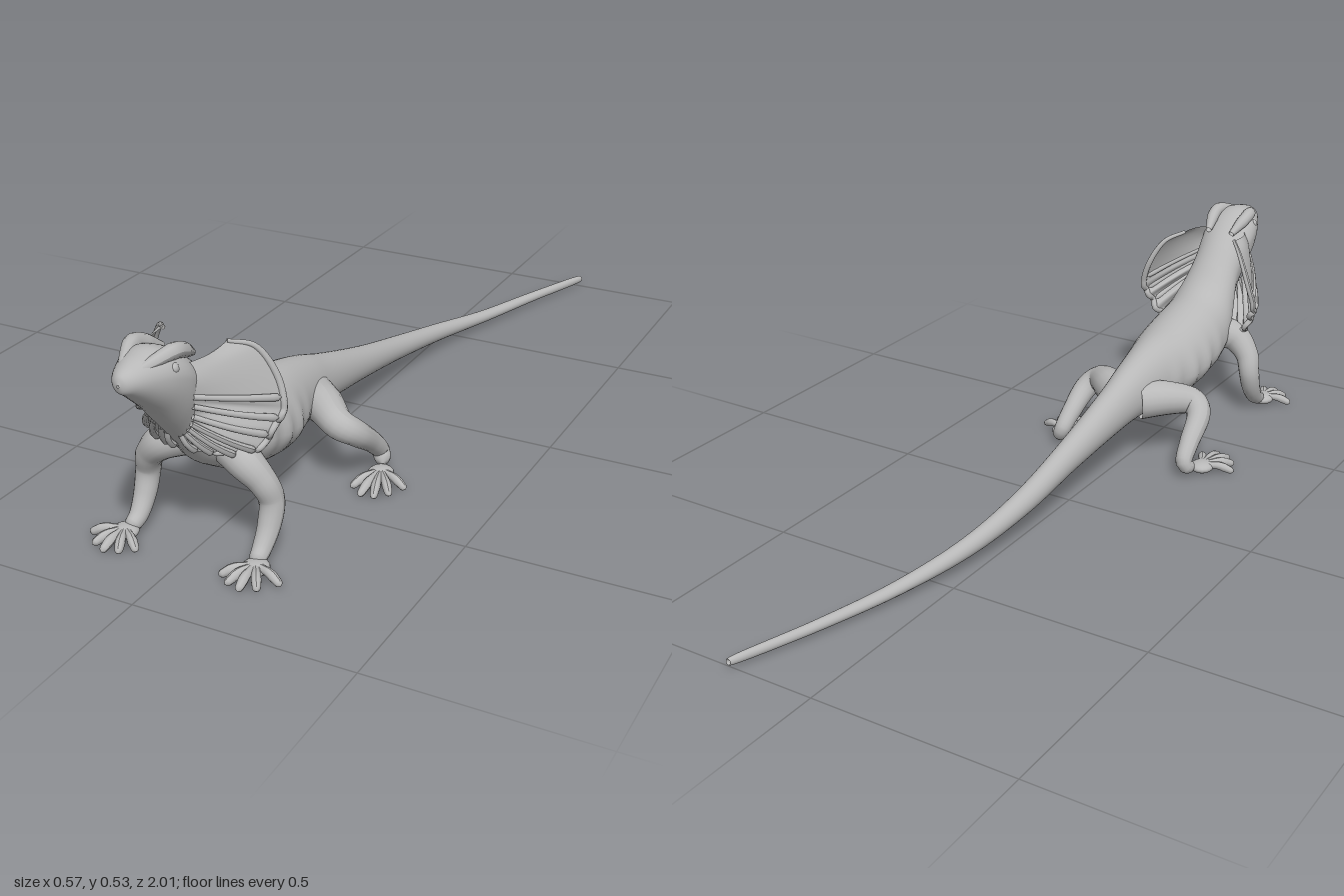
import * as THREE from 'three';

const skin = new THREE.MeshStandardMaterial({ color: 0xb8b8b8, side: THREE.DoubleSide });
skin.name = 'grey skin';
const V = (p, s = 1) => new THREE.Vector3(p[0] * s, p[1], p[2]);
const spline = (pts, s) => new THREE.CatmullRomCurve3(pts.map((p) => V(p, s)), false, 'catmullrom', 0.5);

function addMesh(parent, name, geometry) {
  const mesh = new THREE.Mesh(geometry, skin);
  mesh.name = name;
  parent.add(mesh);
  return mesh;
}

// Smooth surface from a grid of points; wrap joins the last column to the first
function gridGeometry(rows, cols, wrap, point) {
  const pos = [], index = [];
  for (let i = 0; i < rows; i++) for (let j = 0; j < cols; j++) pos.push(...point(i, j));
  for (let i = 0; i < rows - 1; i++) {
    for (let j = 0; j < (wrap ? cols : cols - 1); j++) {
      const k = (j + 1) % cols;
      const a = i * cols + j, b = i * cols + k, c = a + cols, d = b + cols;
      index.push(a, b, c, b, d, c);
    }
  }
  const g = new THREE.BufferGeometry();
  g.setAttribute('position', new THREE.Float32BufferAttribute(pos, 3));
  g.setIndex(index);
  g.computeVertexNormals();
  return g;
}

// Tube with changing radius and a rounded far end
function taperedTube(points, radii, s, segments = 30, sides = 14, round = 0.1) {
  const curve = spline(points, s);
  const g = new THREE.TubeGeometry(curve, segments, 1, sides, false);
  const p = g.attributes.position, v = new THREE.Vector3();
  for (let i = 0; i <= segments; i++) {
    const u = i / segments, c = curve.getPointAt(u);
    const f = u * (radii.length - 1), k = Math.min(Math.floor(f), radii.length - 2);
    let r = THREE.MathUtils.lerp(radii[k], radii[k + 1], f - k);
    if (u > 1 - round) r *= Math.sqrt(Math.max(0.0001, 1 - ((u - 1 + round) / round) ** 2));
    for (let j = 0; j <= sides; j++) {
      const n = i * (sides + 1) + j;
      v.fromBufferAttribute(p, n).sub(c).multiplyScalar(r).add(c);
      p.setXYZ(n, v.x, v.y, v.z);
    }
  }
  g.computeVertexNormals();
  return g;
}

// Tail, trunk, neck and head: z, x, top, bottom, half width, height of widest point (0 to 1)
const sections = [
  [-1, 0.207, 0.024, 0.022, 0.001, 0.5], [-0.993, 0.205, 0.034, 0.013, 0.009, 0.5],
  [-0.8, 0.137, 0.04, 0.014, 0.014, 0.5], [-0.6, 0.078, 0.05, 0.018, 0.018, 0.5],
  [-0.4, 0.03, 0.078, 0.032, 0.022, 0.5], [-0.2, 0.008, 0.117, 0.056, 0.028, 0.5],
  [0, 0.004, 0.167, 0.085, 0.034, 0.5], [0.2, 0.001, 0.228, 0.108, 0.046, 0.48],
  [0.3, 0, 0.263, 0.115, 0.058, 0.45], [0.4, 0, 0.289, 0.11, 0.076, 0.43],
  [0.5, 0, 0.306, 0.112, 0.1, 0.42], [0.6, 0, 0.328, 0.13, 0.104, 0.42],
  [0.66, 0, 0.345, 0.15, 0.1, 0.4], [0.7, 0, 0.37, 0.173, 0.093, 0.42],
  [0.74, 0, 0.41, 0.2, 0.08, 0.48], [0.78, 0, 0.452, 0.245, 0.068, 0.6],
  [0.82, 0, 0.487, 0.292, 0.068, 0.68], [0.86, 0, 0.513, 0.338, 0.072, 0.66],
  [0.9, 0, 0.527, 0.383, 0.066, 0.6], [0.94, 0, 0.522, 0.42, 0.05, 0.55],
  [0.975, 0, 0.511, 0.45, 0.032, 0.5], [0.993, 0, 0.5, 0.463, 0.017, 0.5],
  [1, 0, 0.485, 0.478, 0.002, 0.5],
];

function bodyGeometry() {
  const a = spline(sections.map((r) => [r[0], r[1], r[2]]));
  const b = spline(sections.map((r) => [r[3], r[4], r[5]]));
  const rows = 177, cols = 36;
  return gridGeometry(rows, cols, true, (i, j) => {
    const t = i / (rows - 1), { x: z, y: x, z: top } = a.getPoint(t);
    const { x: bottom, y: w, z: mid } = b.getPoint(t);
    const ang = (j / cols) * Math.PI * 2, c = Math.cos(ang), s = Math.sin(ang);
    const cy = bottom + (top - bottom) * mid;
    // Scalloped fold of skin along the flanks
    const flank = z > 0.36 && z < 0.66 ? Math.sin(((z - 0.36) / 0.3) * Math.PI) : 0;
    const fold = flank * (0.004 + 0.004 * Math.sin(z * 95)) * Math.abs(c) ** 12;
    return [x + c * w + Math.sign(c) * fold, cy + s * (s > 0 ? top - cy : cy - bottom), z];
  });
}

// Neck frill: root line on the head and throat, rim line outside, pleated below
const frillRoot = [[0.055, 0.478, 0.84], [0.066, 0.44, 0.85], [0.066, 0.395, 0.845],
  [0.055, 0.35, 0.835], [0.034, 0.32, 0.825], [0.008, 0.298, 0.815]];
const frillRim = [[0.075, 0.486, 0.735], [0.115, 0.464, 0.69], [0.15, 0.4, 0.67], [0.168, 0.335, 0.675],
  [0.155, 0.298, 0.69], [0.13, 0.25, 0.705], [0.09, 0.24, 0.735], [0.045, 0.25, 0.765], [0.008, 0.26, 0.78]];

function frillPoint(root, rim, u, v) {
  const p = root.getPoint(u).lerp(rim.getPoint(u), v);
  const pleat = THREE.MathUtils.smoothstep(u, 0.32, 0.5) * Math.sin(u * 62) * 0.013 * Math.sin(v * 2.4);
  const bulge = 0.014 * Math.sin(v * Math.PI) * (1 - u);
  const side = Math.sign(rim.points[0].x);
  p.x += side * (bulge * 0.6 + pleat * 0.5 * (1 - u));
  p.z += pleat + bulge * 0.3;
  return p;
}

function addFrill(parent, s) {
  const frill = new THREE.Group();
  frill.name = 'neckFrill';
  parent.add(frill);
  const root = spline(frillRoot, s), rim = spline(frillRim, s);
  addMesh(frill, 'frillMembrane', gridGeometry(81, 15, false,
    (i, j) => frillPoint(root, rim, i / 80, j / 14).toArray()));
  const edge = Array.from({ length: 41 }, (_, i) => frillPoint(root, rim, i / 40, 1).toArray());
  addMesh(frill, 'frillRim', taperedTube(edge, [0.005, 0.008, 0.008, 0.007, 0.006], 1, 70, 8, 0.02));
  // Supporting rods fanning out from the jaw
  for (const u of [0.33, 0.43, 0.54, 0.64, 0.74, 0.85, 0.94]) {
    const rod = [0, 0.25, 0.5, 0.75, 1].map((v) => {
      const p = frillPoint(root, rim, u, v);
      return [p.x, p.y, p.z + 0.005];
    });
    addMesh(frill, 'frillRod', taperedTube(rod, [0.006, 0.007, 0.009], 1, 16, 8));
  }
}

const legs = [
  {
    name: 'frontLeg',
    path: [[0.055, 0.235, 0.7], [0.1, 0.215, 0.72], [0.138, 0.175, 0.715], [0.152, 0.13, 0.705],
      [0.153, 0.08, 0.72], [0.152, 0.04, 0.75], [0.155, 0.022, 0.785]],
    radii: [0.046, 0.04, 0.032, 0.028, 0.026, 0.022, 0.017],
    palm: [0.16, 0.02, 0.79],
    toes: [[0.1, 0.838], [0.13, 0.862], [0.165, 0.872], [0.2, 0.855], [0.234, 0.815]],
  },
  {
    name: 'hindLeg',
    path: [[0.03, 0.17, 0.3], [0.085, 0.172, 0.345], [0.138, 0.16, 0.385], [0.17, 0.135, 0.365],
      [0.178, 0.085, 0.3], [0.184, 0.045, 0.262], [0.2, 0.024, 0.285]],
    radii: [0.05, 0.046, 0.038, 0.031, 0.027, 0.023, 0.018],
    palm: [0.21, 0.02, 0.315],
    toes: [[0.172, 0.392], [0.207, 0.42], [0.24, 0.415], [0.267, 0.388], [0.287, 0.345]],
  },
];

function addLeg(parent, leg, s) {
  const group = new THREE.Group();
  group.name = leg.name;
  parent.add(group);
  addMesh(group, 'limb', taperedTube(leg.path, leg.radii, s, 40, 18, 0.06));
  const palm = addMesh(group, 'palm', new THREE.SphereGeometry(1, 18, 12));
  palm.position.copy(V(leg.palm, s));
  palm.scale.set(0.03, 0.015, 0.032);
  for (const [x, z] of leg.toes) {
    const [px, py, pz] = leg.palm;
    const toe = [[px, py, pz], [(px + x) / 2, 0.025, (pz + z) / 2], [x, 0.01, z]];
    addMesh(group, 'toe', taperedTube(toe, [0.013, 0.009, 0.011, 0.008], s, 18, 10, 0.12));
  }
}

export function createModel() {
  const lizard = new THREE.Group();
  lizard.name = 'frilledLizard';
  addMesh(lizard, 'bodyHeadAndTail', bodyGeometry());
  for (const s of [1, -1]) {
    for (const leg of legs) addLeg(lizard, leg, s);
    addFrill(lizard, s);
    // Brow ridge and eye
    const brow = [[0.035, 0.48, 0.8], [0.046, 0.507, 0.85], [0.046, 0.517, 0.885], [0.03, 0.508, 0.93], [0.012, 0.497, 0.97]];
    addMesh(lizard, 'browRidge', taperedTube(brow, [0.008, 0.016, 0.017, 0.013, 0.008], s, 24, 12));
    const eye = addMesh(lizard, 'eye', new THREE.SphereGeometry(0.012, 14, 10));
    eye.position.set(s * 0.054, 0.488, 0.895);
  }
  return lizard;
}
